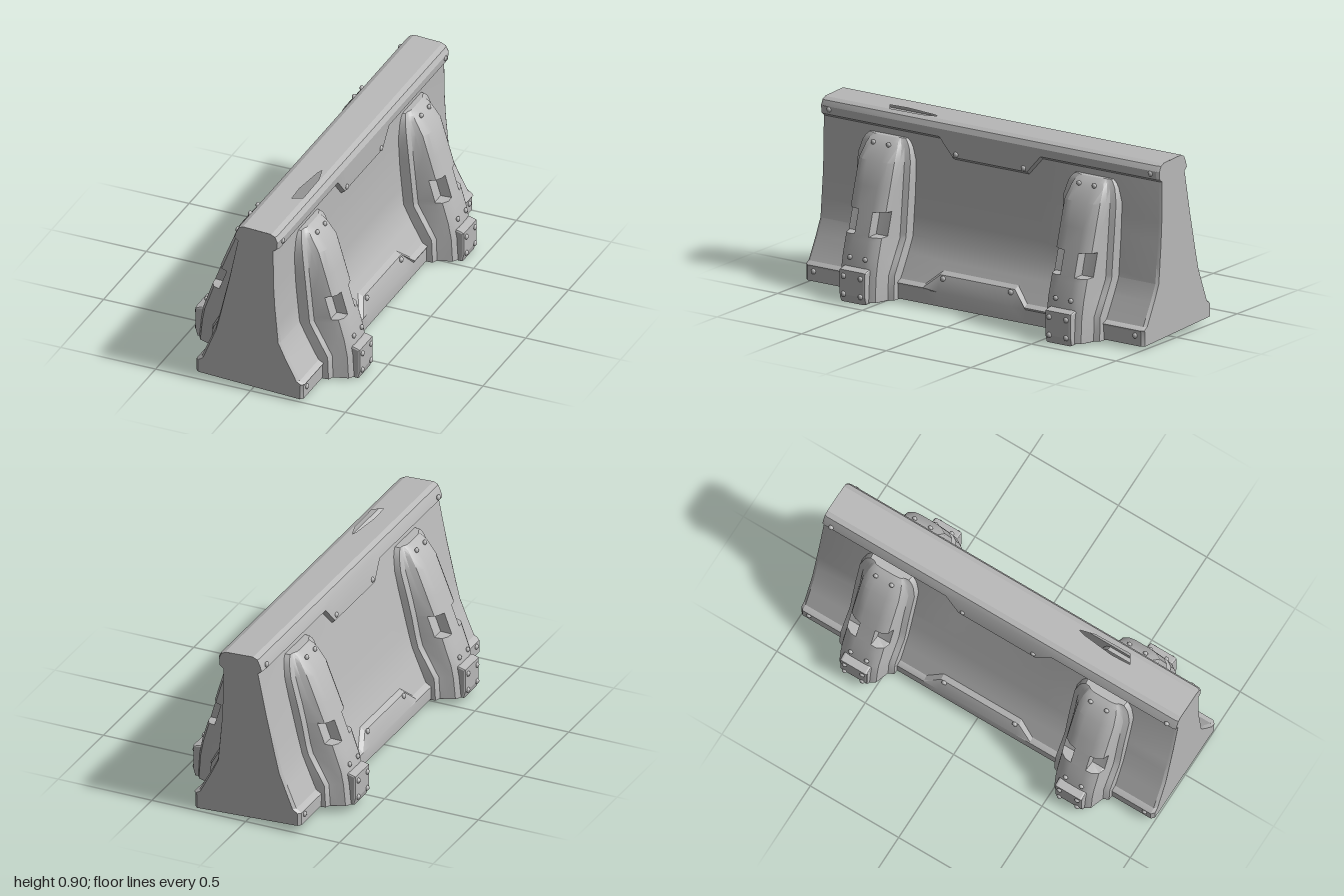
import * as THREE from 'three';
import { toCreasedNormals } from 'three/addons/utils/BufferGeometryUtils.js';

const concrete = new THREE.MeshStandardMaterial({ color: 0xb8b8b8, side: THREE.DoubleSide });
concrete.name = 'concrete grey';

// Linear lookup in a list of [y, value] pairs
function look(table, y) {
  for (let i = 1; i < table.length; i++) {
    const [y0, a] = table[i - 1], [y1, b] = table[i];
    if (y <= y1) return a + (b - a) * Math.max(0, (y - y0) / (y1 - y0));
  }
  return table[table.length - 1][1];
}

// Skin through a row of open rings, optionally closing both ends
function loft(rings, flip, caps) {
  const n = rings[0].length, idx = [];
  const tri = (a, b, c) => (flip ? idx.push(a, c, b) : idx.push(a, b, c));
  for (let i = 0; i < rings.length - 1; i++) {
    for (let j = 0; j < n - 1; j++) {
      const a = i * n + j, b = a + n;
      tri(a, b, a + 1);
      tri(b, b + 1, a + 1);
    }
  }
  if (caps) {
    const last = (rings.length - 1) * n;
    for (let k = 1; k < n - 1; k++) {
      tri(0, k, k + 1);
      tri(last, last + k + 1, last + k);
    }
  }
  const g = new THREE.BufferGeometry();
  g.setAttribute('position', new THREE.Float32BufferAttribute(rings.flat(2), 3));
  g.setIndex(idx);
  return toCreasedNormals(g, 0.45);
}

function add(parent, name, geometry) {
  const m = new THREE.Mesh(geometry, concrete);
  m.name = name;
  parent.add(m);
  return m;
}

// The barrier leans a little, so each side has its own measurements (distances from x = 0)
const SIDES = [
  {
    s: 1, name: 'left', lift: 0, bottom: 0.015, notch: [0.32, 0.44],
    cap: [[0.11, 0.897], [0.135, 0.886], [0.149, 0.86]],
    wall: [[0, 0.262], [0.1, 0.26], [0.29, 0.155], [0.55, 0.13], [0.77, 0.125], [0.9, 0.125]],
    outer: [[0, 0.41], [0.17, 0.4], [0.22, 0.385], [0.5, 0.303], [0.67, 0.252], [0.755, 0.185], [0.78, 0.145]],
    ridge: [[0, 0.305], [0.13, 0.3], [0.3, 0.205], [0.67, 0.168], [0.755, 0.15], [0.78, 0.138]],
  },
  {
    s: -1, name: 'right', lift: 0.02, bottom: 0.04, notch: [0.35, 0.46],
    cap: [[0.04, 0.904], [0.065, 0.893], [0.081, 0.862]],
    wall: [[0, 0.275], [0.12, 0.265], [0.31, 0.185], [0.5, 0.14], [0.79, 0.07], [0.9, 0.066]],
    outer: [[0, 0.42], [0.2, 0.4], [0.22, 0.39], [0.345, 0.347], [0.47, 0.3], [0.69, 0.212], [0.77, 0.152], [0.8, 0.112]],
    ridge: [[0, 0.315], [0.15, 0.305], [0.31, 0.215], [0.5, 0.178], [0.7, 0.125], [0.8, 0.1]],
  },
];

// Half cross-section of the body, from the top edge down to the ground
function bodySection(d, capY, baseY, z) {
  const c = capY + d.lift * 0.7, b = baseY + d.lift * 0.7;
  const end = Math.abs(z) === 1 ? 0.95 : 1;
  const pts = [
    ...d.cap,
    [look(d.wall, c + 0.015) + 0.021, c + 0.015],
    [look(d.wall, c), c],
    ...[0.6, 0.5, 0.4, 0.3, 0.22].map((y) => [look(d.wall, y), y]),
    [look(d.wall, b), b],
    [look(d.wall, b - 0.015) + 0.02, b - 0.015],
    [d.s > 0 ? 0.274 : 0.29, 0.085 + d.lift],
    [d.s > 0 ? 0.274 : 0.29, d.bottom],
  ];
  return pts.map(([x, y]) => [d.s * x * end, y, z]);
}

// Stations along the length: [z, lower edge of cap, upper edge of base]
const STATIONS = [
  [-1, 0.805, 0.11], [-0.985, 0.805, 0.11], [-0.3, 0.805, 0.11], [-0.22, 0.715, 0.18],
  [0.22, 0.715, 0.18], [0.3, 0.805, 0.11], [0.985, 0.805, 0.11], [1, 0.805, 0.11],
];

// One level of a buttress: flange, column and clipped front corners
function ribRing(d, y, z0, inNotch) {
  const o = look(d.outer, y), r = Math.min(look(d.ridge, y), o - 0.008);
  const w = look([[0.68, 1], [0.75, 0.86], [0.79, 0.6]], y - d.lift);
  const t = Math.min(1, (o - r) / 0.08);
  const half = [
    [look(d.wall, y) - 0.02, 0.162],
    [r, 0.155],
    [r + 0.012 * t, 0.128],
    [o - 0.055 * t, 0.115],
    inNotch ? [o - 0.056, 0.108] : [o - 0.022 * t, 0.104],
    inNotch ? [o - 0.056, 0.046] : [o - 0.004 * t, 0.075],
    [o, 0.042],
  ];
  const yy = y < 0.05 ? (x) => y - 0.02 * d.s * (x - 0.3) : () => y;
  const at = (k) => ([x, z]) => [d.s * x, yy(x), z0 + k * z * w];
  return [...half.map(at(-1)), ...half.slice().reverse().map(at(1))];
}

function addBolt(parent, x, y, z, r = 0.014) {
  const b = add(parent, 'bolt', new THREE.SphereGeometry(r, 10, 6));
  b.position.set(x, y, z);
  b.scale.x = 0.8;
}

function makeButtress(d, z0) {
  const g = new THREE.Group();
  g.name = d.name + 'Buttress';
  const [n0, n1] = d.notch, e = 0.004;
  const levels = [
    [d.bottom - 0.005], [0.13 + d.lift], [0.215], [0.3], [n0], [n0 + e, true], [n1 - e, true], [n1],
    [0.55], [0.67 + d.lift], [0.735 + d.lift], [0.758 + d.lift], [0.775 + d.lift],
  ];
  add(g, 'buttressColumn', loft(levels.map(([y, notch]) => ribRing(d, y, z0, notch)), d.s < 0, true));

  // Foot block at the bottom of the column
  const y0 = d.s > 0 ? 0.01 : 0.042, top = 0.155 + d.lift * 1.5;
  const shape = new THREE.Shape([
    [0.34, y0], [0.418, y0 - (d.s > 0 ? 0.002 : 0)], [0.427, y0 + 0.03],
    [0.427, top], [0.4, top + 0.008], [0.34, top + 0.01],
  ].map(([x, y]) => new THREE.Vector2(x, y)));
  const foot = new THREE.ExtrudeGeometry(shape, {
    depth: 0.13, bevelThickness: 0.012, bevelSize: 0.008, bevelSegments: 2,
  });
  foot.translate(0, 0, -0.065);
  if (d.s < 0) foot.rotateY(Math.PI);
  add(g, 'foot', foot).position.z = z0;

  for (const k of [-1, 1]) {
    for (const y of [y0 + 0.03, top - 0.025]) addBolt(g, d.s * 0.435, y, z0 + k * 0.05);
    for (const y of [0.215 + d.lift, 0.745 + d.lift]) {
      addBolt(g, d.s * (look(d.outer, y) + 0.003), y, z0 + k * 0.045, 0.013);
    }
  }
  return g;
}

export function createModel() {
  const model = new THREE.Group();
  model.name = 'roadBarrier';

  // Hollow side walls with raised cap and base bands, and their buttresses
  for (const d of SIDES) {
    add(model, d.name + 'Wall', loft(STATIONS.map(([z, c, b]) => bodySection(d, c, b, z)), d.s < 0));
    for (const z of [-0.608, 0.608]) model.add(makeButtress(d, z));
    for (const k of [-1, 1]) {
      const spots = [[0.95, 0.845 + d.lift * 0.3], [0.2, 0.745 + d.lift], [0.95, 0.065 + d.lift], [0.2, 0.15 + d.lift]];
      for (const [z, y] of spots) {
        const x = y < 0.1 ? (d.s > 0 ? 0.274 : 0.29) : look(d.wall, y) + 0.021;
        addBolt(model, d.s * x, y, k * z);
      }
    }
  }

  // Flat end walls
  for (const k of [-1, 1]) {
    const [a, b] = SIDES.map((d) => bodySection(d, 0.805, 0.11, k));
    const outline = [...a, ...b.reverse()].map(([x, y]) => new THREE.Vector2(x, y));
    const g = new THREE.ShapeGeometry(new THREE.Shape(outline));
    if (k < 0) {
      g.rotateY(Math.PI);
      g.scale(-1, 1, 1);
      // Mirroring reverses the corners, so swap them back
      const ix = g.index.array;
      for (let i = 0; i < ix.length; i += 3) [ix[i], ix[i + 1]] = [ix[i + 1], ix[i]];
      g.computeVertexNormals();
    }
    add(model, k > 0 ? 'frontEnd' : 'backEnd', g).position.z = k;
  }

  // Gently tilted top plate with a broken opening
  const v = (list) => list.map(([x, z]) => new THREE.Vector2(x, -z));
  const top = new THREE.Shape(v([[-0.04, 1], [0.11, 1], [0.11, -1], [-0.04, -1]]));
  top.holes.push(new THREE.Path(v([
    [0.083, 0.35], [0.104, 0.43], [0.108, 0.62], [0.06, 0.65], [0.055, 0.55], [0.073, 0.38],
  ])));
  const plate = new THREE.ShapeGeometry(top);
  plate.rotateX(-Math.PI / 2);
  const p = plate.attributes.position;
  for (let i = 0; i < p.count; i++) p.setY(i, 0.897 + (0.11 - p.getX(i)) * (0.007 / 0.15));
  plate.computeVertexNormals();
  add(model, 'topPlate', plate);

  return model;
}
